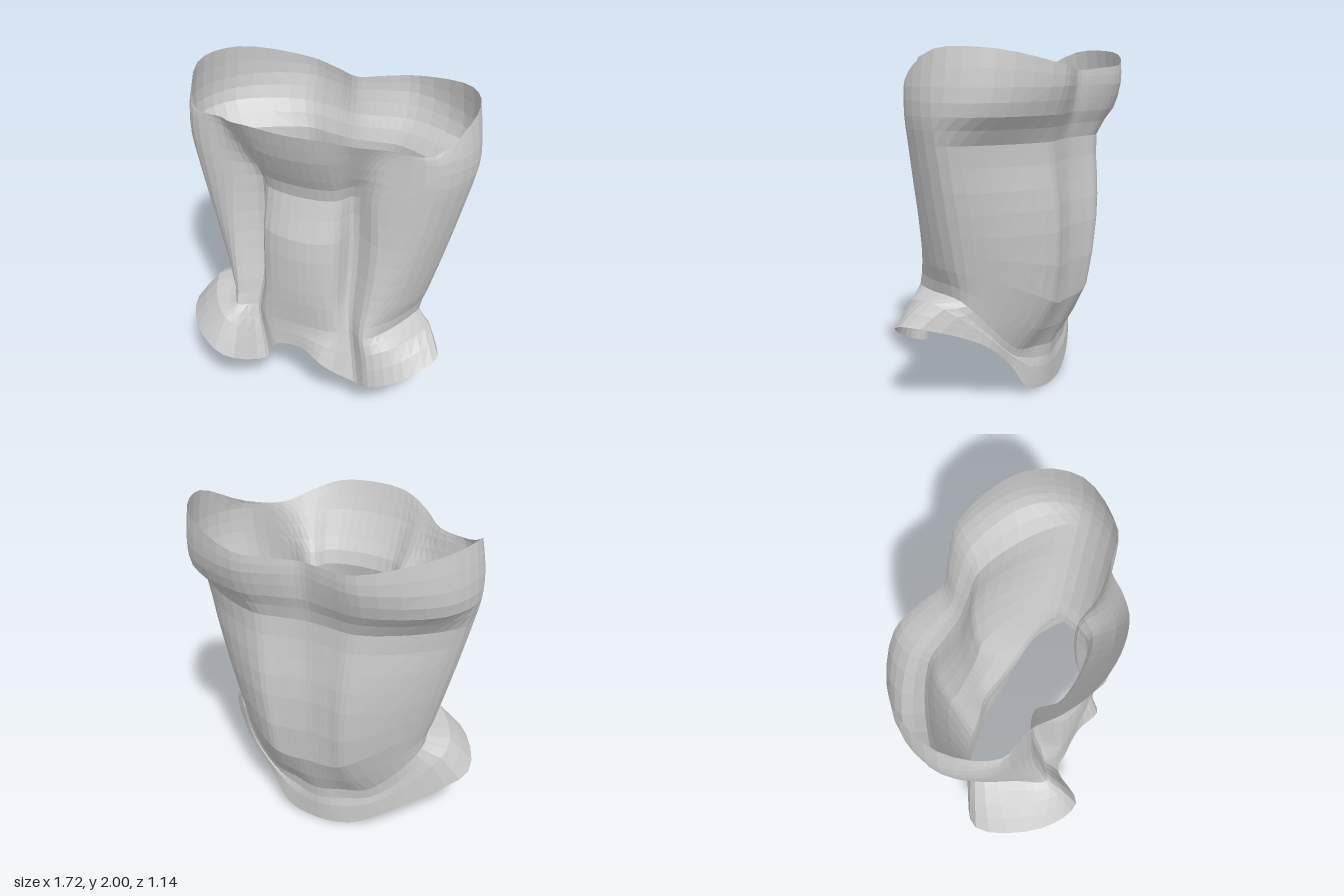
import * as THREE from 'three';

// Horizontal sections, from the neckline down:
// y, half width, centre panel z, panel edge ratio, groove x, groove z, lobe offset, lobe z, back lobe z, back centre z
const SECTIONS = [
  [1.97, 0.83, 0.51, 0.58, 0.36, 0.38, 0.13, 0.26, -0.575, -0.48],
  [1.80, 0.858, 0.455, 0.6, 0.35, 0.32, 0.13, 0.25, -0.57, -0.48],
  [1.65, 0.858, 0.38, 0.65, 0.32, 0.25, 0.14, 0.245, -0.52, -0.46],
  [1.50, 0.825, 0.32, 0.72, 0.28, 0.19, 0.16, 0.245, -0.45, -0.42],
  [1.25, 0.765, 0.385, 0.76, 0.28, 0.18, 0.17, 0.255, -0.47, -0.43],
  [1.00, 0.70, 0.39, 0.76, 0.28, 0.2, 0.16, 0.28, -0.485, -0.45],
  [0.80, 0.645, 0.38, 0.76, 0.28, 0.24, 0.14, 0.31, -0.44, -0.43],
  [0.63, 0.60, 0.36, 0.78, 0.3, 0.28, 0.11, 0.345, -0.26, -0.32],
];
// Back quarter shape: side x ratio, side z ratio, back lobe x ratio
const CHEST = [0.87, 0.65, 0.42];
const WAIST = [0.8, 0.6, 0.37];
const HIP = [0.86, 0.7, 0.52];

// Height changes per station, from front centre to back centre
const RIM_DY = [0, -0.01, -0.06, -0.11, -0.12, 0.02, 0.02, -0.06, -0.08, -0.09];
const LOW_DY = [0, 0, 0, 0.01, 0.01, 0, -0.13, -0.32, -0.35, -0.36];
const MID_DY = [0, 0, 0, 0, 0, 0, -0.06, -0.2, -0.24, -0.24];

// Hem outlines, which differ between the two hips
const HEM_LEFT = [[0, 0.46, 0.37], [0.18, 0.42, 0.43], [0.34, 0.28, 0.34], [0.45, 0.31, 0.385], [0.66, 0.42, 0.34],
  [0.8, 0.5, 0.16], [0.55, 0.39, -0.16], [0.35, 0.22, -0.24], [0.22, 0.05, -0.28], [0, 0.005, -0.3]];
const HEM_RIGHT = [[0, 0.46, 0.37], [-0.17, 0.42, 0.36], [-0.25, 0.27, 0.35], [-0.43, 0.4, 0.56], [-0.68, 0.45, 0.43],
  [-0.85, 0.4, 0.05], [-0.6, 0.25, -0.14], [-0.38, 0.11, -0.24], [-0.2, 0.02, -0.28], [0, 0.005, -0.3]];

const vec = ([x, y, z]) => new THREE.Vector3(x, y, z);

// Half a section, from front centre round one side to back centre
function halfSection(level, side) {
  const [y, w, zf, k, x, zg, dx, zl, zb, zc] = SECTIONS[level];
  const [sideX, sideZ, lobeX] = level < 3 ? CHEST : level < 7 ? WAIST : HIP;
  const dy = level === 0 ? RIM_DY : level === 7 ? LOW_DY : level === 6 ? MID_DY : null;
  const xg = x - 0.02 * side; // the centre panel sits slightly to one side
  const plan = [[0, zf], [xg * k, zf - 0.28 * (zf - zg)], [xg, zg], [xg + dx, zl], [0.84 * w, 0.2],
    [w, -0.07], [sideX * w, sideZ * zb], [lobeX * w, zb], [0.14, (zb + zc) / 2], [0, zc]];
  return plan.map(([px, z], i) => new THREE.Vector3(side * px, y + (dy ? dy[i] : 0), z));
}

// Join a left and a right half into one closed loop
const joinHalves = (left, right) => [...left, ...right.slice(1, -1).reverse()];

function buildControlLoops() {
  const loops = SECTIONS.map((_, i) => joinHalves(halfSection(i, 1), halfSection(i, -1)));
  const hem = joinHalves(HEM_LEFT.map(vec), HEM_RIGHT.map(vec));
  // The flared hips arch upward on their way to the hem
  const last = loops[loops.length - 1];
  const flare = last.map((p, i) => {
    const station = i < 10 ? i : 18 - i;
    const lift = station >= 3 && station <= 5 ? 0.06 : 0;
    return p.clone().lerp(hem[i], 0.5).add(new THREE.Vector3(0, lift, 0));
  });
  return [...loops, flare, hem];
}

// Skin a range of rows as an open sheet
function skin(rows, name, material) {
  const n = rows[0].length;
  const geometry = new THREE.BufferGeometry().setFromPoints(rows.flat());
  const index = [];
  for (let r = 0; r < rows.length - 1; r++) {
    for (let c = 0; c < n; c++) {
      const a = r * n + c, b = r * n + (c + 1) % n;
      index.push(a, a + n, b, b, a + n, b + n);
    }
  }
  geometry.setIndex(index);
  geometry.computeVertexNormals();
  const mesh = new THREE.Mesh(geometry, material);
  mesh.name = name;
  return mesh;
}

export function createModel() {
  const cloth = new THREE.MeshStandardMaterial({ color: 0xcccccc, flatShading: true, side: THREE.DoubleSide });
  cloth.name = 'pale grey cloth';

  // Smooth down every station, then round every row
  const loops = buildControlLoops();
  const steps = 2 * (loops.length - 1);
  const columns = loops[0].map((_, i) => new THREE.CatmullRomCurve3(loops.map((l) => l[i]), false, 'catmullrom', 0.5));
  const rows = [];
  for (let r = 0; r <= steps; r++) {
    const ring = new THREE.CatmullRomCurve3(columns.map((c) => c.getPoint(r / steps)), true, 'centripetal');
    rows.push(Array.from({ length: 72 }, (_, c) => ring.getPoint(c / 72)));
  }

  const group = new THREE.Group();
  group.name = 'bodice';
  group.add(skin(rows.slice(0, 5), 'neckline', cloth));
  group.add(skin(rows.slice(4, 15), 'torso', cloth));
  group.add(skin(rows.slice(14), 'flaredHem', cloth));
  return group;
}
